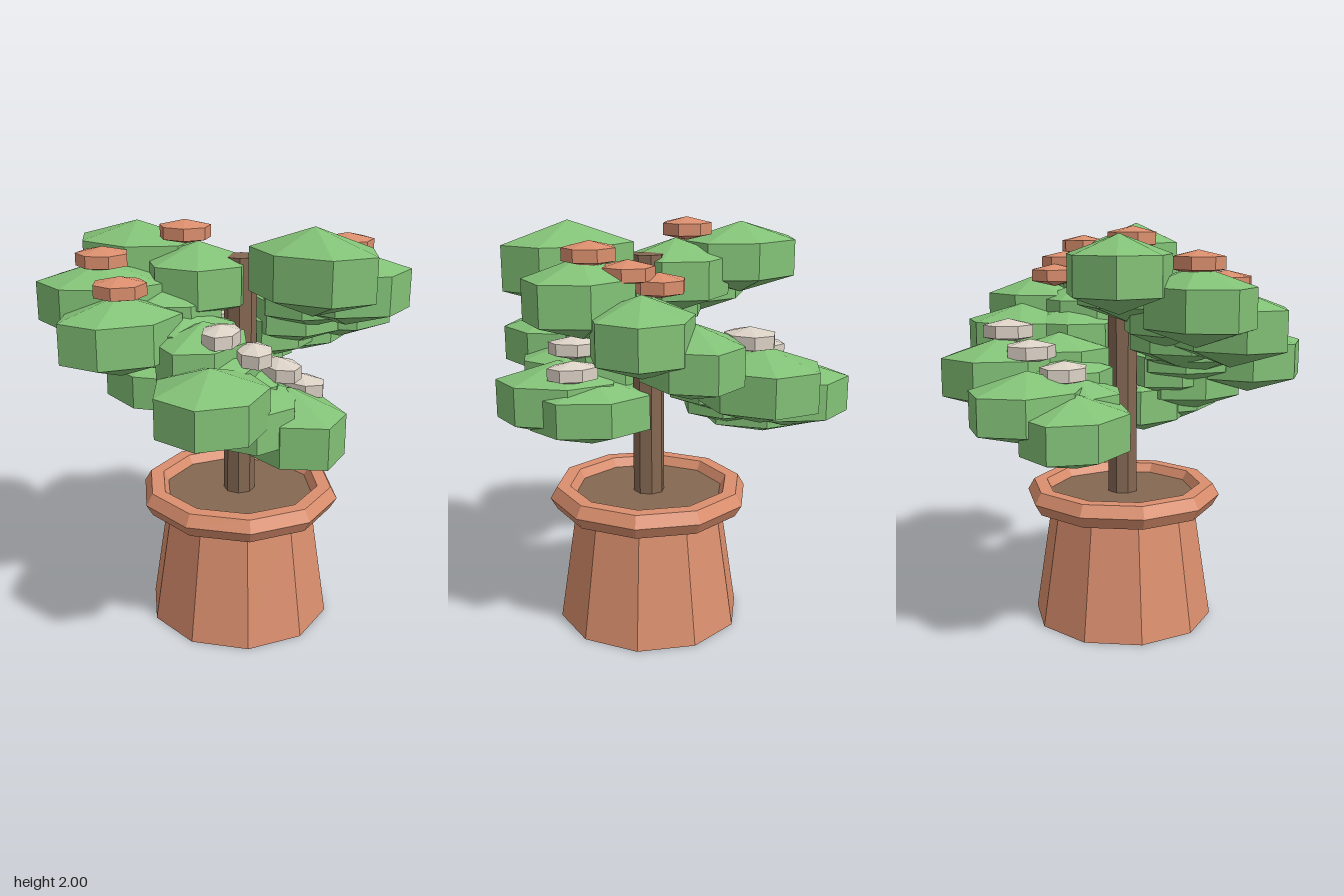
import * as THREE from 'three';

const mat = (name, color) => Object.assign(new THREE.MeshStandardMaterial({ color }), { name });

// faceted copy of a geometry
function flat(geo) {
  const g = geo.index ? geo.toNonIndexed() : geo;
  g.computeVertexNormals();
  return g;
}

export function createModel() {
  const leaf = mat('leaf green', 0x83c277);
  const clay = mat('terracotta', 0xdb8f6e);
  const wood = mat('bark brown', 0x856852);
  const stone = mat('pale grey', 0xdcd2c6);

  const model = new THREE.Group();
  model.name = 'pottedTree';
  const CX = 0.09, CZ = -0.03; // axis of pot and trunk

  function add(parent, name, geo, material, x, y, z) {
    const m = new THREE.Mesh(flat(geo), material);
    m.name = name;
    m.position.set(x, y, z);
    parent.add(m);
    return m;
  }

  // pot: ten-sided, wider at the foot, with a six-sided ring as rim
  const turn = Math.PI / 10; // puts a corner on the x axis
  add(model, 'potBody', new THREE.CylinderGeometry(0.365, 0.457, 0.6, 10).rotateY(turn), clay, CX, 0.3, CZ);
  add(model, 'potRim', new THREE.TorusGeometry(0.428, 0.066, 6, 10).rotateX(Math.PI / 2), clay, CX, 0.645, CZ);
  add(model, 'soil', new THREE.CylinderGeometry(0.375, 0.375, 0.04, 10).rotateY(turn), wood, CX, 0.637, CZ);
  add(model, 'trunk', new THREE.CylinderGeometry(0.077, 0.077, 1.21, 8), wood, CX, 1.225, CZ);

  // squashed seven-sided blob; its long axis points away from the trunk
  function blob(parent, name, material, [x, y, z, len, wid, h]) {
    const g = new THREE.SphereGeometry(1, 7, 3);
    g.rotateY(Math.PI);
    g.scale(len / 0.866, h, wid / 0.866);
    g.rotateY(-Math.atan2(z - CZ, x - CX));
    return add(parent, name, g, material, x, y, z);
  }

  // two spiral arms of foliage: x, y, z, half length, half width, half height
  const arms = {
    frontArm: [
      [0.37, 1.085, -0.03, 0.30, 0.22, 0.17],
      [0.52, 1.13, 0.06, 0.305, 0.22, 0.19],
      [0.43, 1.21, 0.22, 0.28, 0.22, 0.17],
      [0.32, 1.27, 0.16, 0.24, 0.18, 0.15],
      [0.49, 1.32, 0.50, 0.28, 0.25, 0.175],
      [0.28, 1.35, 0.25, 0.25, 0.18, 0.15],
      [0.21, 1.43, 0.30, 0.26, 0.19, 0.17],
      [0.06, 1.47, 0.27, 0.24, 0.18, 0.15],
      [-0.04, 1.53, 0.57, 0.29, 0.22, 0.185],
      [-0.06, 1.57, 0.26, 0.24, 0.18, 0.15],
      [-0.28, 1.64, 0.49, 0.30, 0.24, 0.18],
      [-0.42, 1.78, 0.18, 0.31, 0.24, 0.175],
      [-0.07, 1.71, 0.09, 0.25, 0.26, 0.18],
    ],
    backArm: [
      [-0.51, 1.085, 0.01, 0.32, 0.24, 0.17],
      [-0.54, 1.18, -0.22, 0.30, 0.24, 0.17],
      [-0.30, 1.15, -0.08, 0.23, 0.20, 0.15],
      [-0.22, 1.24, -0.18, 0.24, 0.18, 0.15],
      [-0.34, 1.29, -0.47, 0.29, 0.25, 0.18],
      [-0.13, 1.33, -0.27, 0.25, 0.20, 0.15],
      [0.00, 1.43, -0.55, 0.29, 0.22, 0.17],
      [0.05, 1.44, -0.31, 0.24, 0.18, 0.15],
      [0.22, 1.55, -0.59, 0.27, 0.23, 0.18],
      [0.18, 1.54, -0.32, 0.23, 0.19, 0.16],
      [0.30, 1.64, -0.28, 0.24, 0.18, 0.15],
      [0.44, 1.69, -0.38, 0.29, 0.24, 0.18],
      [0.47, 1.80, -0.12, 0.31, 0.23, 0.20],
    ],
  };
  for (const [name, list] of Object.entries(arms)) {
    const arm = new THREE.Group();
    arm.name = name;
    list.forEach((b) => blob(arm, 'foliage', leaf, b));
    model.add(arm);
  }

  // small caps sitting on the foliage: terracotta high up, grey low down
  const clayCaps = [
    [-0.13, 1.93, 0.12], [-0.27, 1.83, 0.49], [-0.06, 1.735, 0.55],
    [0.41, 1.88, -0.40], [0.25, 1.80, -0.43], [0.11, 1.74, -0.42],
  ];
  const leftGreyCaps = [[-0.39, 1.325, -0.11], [-0.38, 1.415, -0.29], [-0.29, 1.495, -0.46]];
  const rightGreyCaps = [
    [0.33, 1.555, 0.30], [0.41, 1.465, 0.18], [0.44, 1.38, 0.05], [0.46, 1.285, -0.07],
  ];
  const caps = new THREE.Group();
  caps.name = 'caps';
  clayCaps.forEach((p) => blob(caps, 'clayCap', clay, [...p, 0.123, 0.118, 0.056]));
  leftGreyCaps.forEach((p) => blob(caps, 'greyCap', stone, [...p, 0.122, 0.108, 0.058]));
  rightGreyCaps.forEach((p) => blob(caps, 'greyCap', stone, [...p, 0.125, 0.085, 0.058]));
  model.add(caps);

  return model;
}
